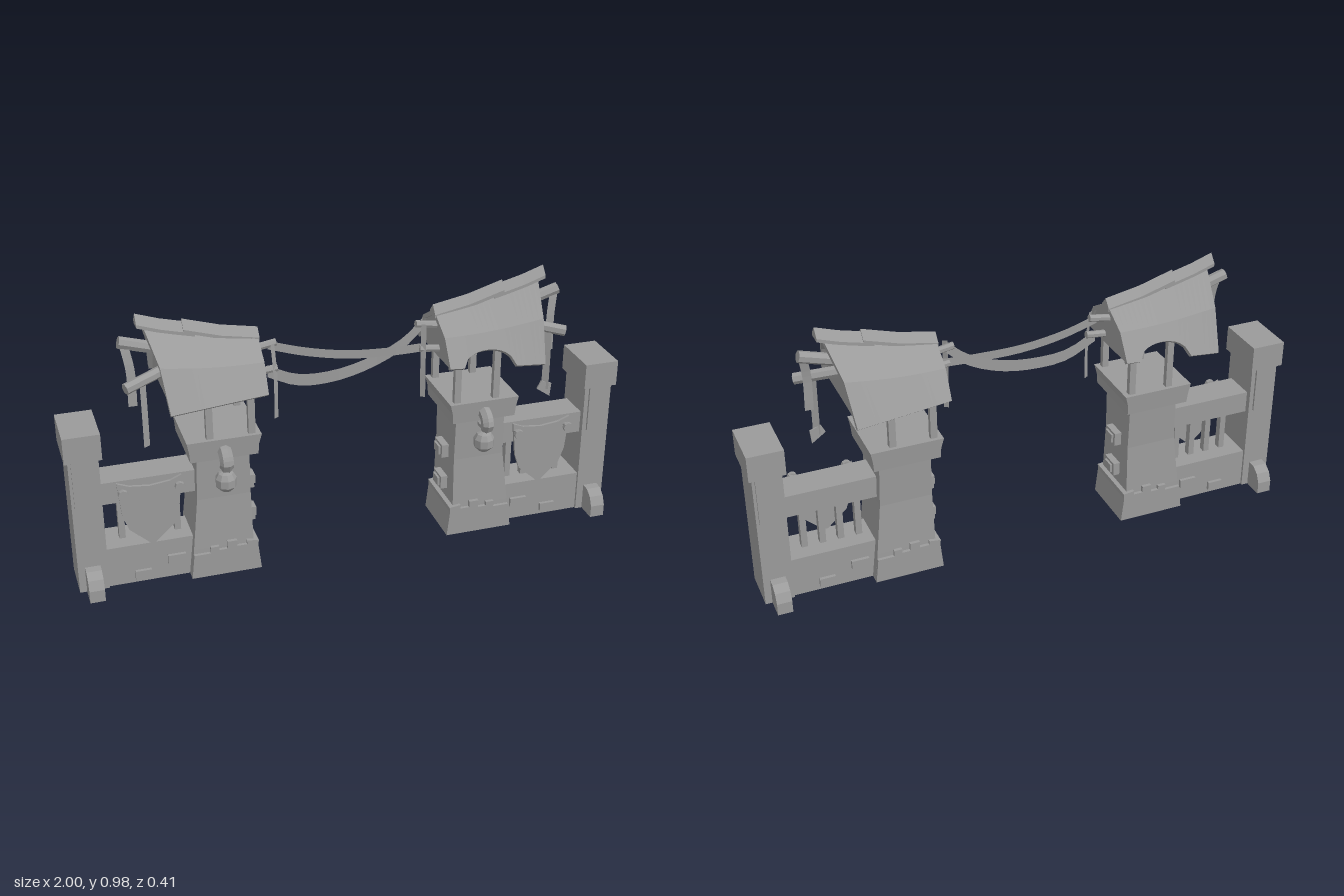
import * as THREE from 'three';

const material = new THREE.MeshStandardMaterial({ color: 0x9a9a9a, flatShading: true, side: THREE.DoubleSide });
const V = (x, y, z) => new THREE.Vector3(x, y, z);
const mix = THREE.MathUtils.lerp;

// Adds a part; shapes are written for the +x side and mirrored when s is -1
function add(parent, name, geometry, s = 1) {
  const g = geometry.index ? geometry.toNonIndexed() : geometry;
  if (s < 0) {
    const p = g.attributes.position;
    for (let i = 0; i < p.count; i++) p.setX(i, -p.getX(i));
    for (let i = 0; i < p.count; i += 3) {
      const b = V().fromBufferAttribute(p, i + 1), c = V().fromBufferAttribute(p, i + 2);
      p.setXYZ(i + 1, c.x, c.y, c.z);
      p.setXYZ(i + 2, b.x, b.y, b.z);
    }
  }
  g.computeVertexNormals();
  const mesh = new THREE.Mesh(g, material);
  mesh.name = name;
  parent.add(mesh);
}

// Drops the faces lying on the ground, leaving the part hollow from below
function openBottom(geometry) {
  const p = (geometry.index ? geometry.toNonIndexed() : geometry).attributes.position;
  const kept = [];
  for (let i = 0; i < p.count; i += 3) {
    const corners = [0, 1, 2].map(k => V().fromBufferAttribute(p, i + k));
    if (corners.some(c => c.y > 1e-5)) kept.push(...corners);
  }
  return new THREE.BufferGeometry().setFromPoints(kept);
}

// Box given by its limits
const box = (x0, x1, y0, y1, z0, z1) =>
  new THREE.BoxGeometry(x1 - x0, y1 - y0, z1 - z0).translate((x0 + x1) / 2, (y0 + y1) / 2, (z0 + z1) / 2);

// Round pole between two points
function pole(a, b, r, sides = 7) {
  const d = b.clone().sub(a);
  return new THREE.CylinderGeometry(r, r, d.length(), sides)
    .applyQuaternion(new THREE.Quaternion().setFromUnitVectors(V(0, 1, 0), d.clone().normalize()))
    .translate((a.x + b.x) / 2, (a.y + b.y) / 2, (a.z + b.z) / 2);
}

// Joins closed sections of equal length; end caps pair point i with point n-1-i
function loft(sections) {
  const n = sections[0].length, last = (sections.length - 1) * n, index = [];
  const quad = (a, b, c, d) => index.push(a, b, c, a, c, d);
  for (let k = 0; k < sections.length - 1; k++)
    for (let i = 0; i < n; i++) {
      const j = (i + 1) % n, o = k * n;
      quad(o + i, o + j, o + n + j, o + n + i);
    }
  for (let i = 0; i < n / 2 - 1; i++) {
    quad(i + 1, i, n - 1 - i, n - 2 - i);
    quad(last + i, last + i + 1, last + n - 2 - i, last + n - 1 - i);
  }
  const g = new THREE.BufferGeometry().setFromPoints(sections.flat());
  g.setIndex(index);
  return g;
}

// Thin cloth strip along a curve
function ribbon(points, side, segments = 10) {
  const curve = new THREE.CatmullRomCurve3(points);
  const g = new THREE.PlaneGeometry(1, 1, segments, 1), p = g.attributes.position;
  for (let i = 0; i < p.count; i++) {
    const q = curve.getPoint(p.getX(i) + 0.5).addScaledVector(side, p.getY(i));
    p.setXYZ(i, q.x, q.y, q.z);
  }
  return g;
}

// Flat outline given thickness in z
function slab(points, z, depth) {
  const shape = new THREE.Shape(points.map(([x, y]) => new THREE.Vector2(x, y)));
  return new THREE.ExtrudeGeometry(shape, { depth, bevelEnabled: false }).translate(0, 0, z);
}

// Five roof points from +z eave over the ridge to -z eave; t runs from outer end to inner end
function roofLine(t, inset, notchSide) {
  const sag = 0.008 * Math.sin(Math.PI * t);
  const ridge = mix(0.945, 0.86, t) - sag - inset * 1.3;
  const bz = mix(0.137, 0.108, t) - inset * 0.8, by = mix(0.835, 0.795, t) - sag - inset * 0.6;
  const ez = mix(0.207, 0.165, t) - inset, ey = mix(0.695, 0.703, t) - inset * 0.7;
  const d = Math.abs(t - 0.58) / 0.27;
  const bite = d < 1 ? 0.5 * Math.sqrt(1 - d * d) : 0;
  const rx = mix(0.7, 0.315, t), ex = mix(0.655, 0.32, t), mx = mix(0.67, 0.318, t);
  const eave = side => {
    const k = side === notchSide ? bite : 0;
    return V(ex, mix(ey, by, k), side * mix(ez, bz, k));
  };
  return [eave(1), V(mx, by, bz), V(rx, ridge, 0), V(mx, by, -bz), eave(-1)];
}

function buildRoof(s) {
  const roof = new THREE.Group();
  roof.name = 'roof';
  const shell = [];
  for (let k = 0; k <= 20; k++)
    shell.push([...roofLine(k / 20, 0, s), ...roofLine(k / 20, 0.016, s).reverse()]);
  add(roof, 'roofShell', loft(shell), s);

  // Ridge caps in two overlapping pieces
  const cap = (x, y) => [[-0.026, 0], [-0.026, 0.012], [0, 0.042], [0.026, 0.012], [0.026, 0], [0, 0]]
    .map(([z, h]) => V(x, y + h, z));
  add(roof, 'outerRidgeCap', loft([cap(0.72, 0.935), cap(0.64, 0.908), cap(0.53, 0.88)]), s);
  add(roof, 'innerRidgeCap', loft([cap(0.567, 0.898), cap(0.44, 0.86), cap(0.312, 0.836)]), s);

  // Gable walls
  for (const [t, x] of [[0.1, 0.635], [0.95, 0.335]]) {
    const wall = dx => [...roofLine(t, 0.012, 0), V(0, 0.69, 0)].map(p => V(x + dx, p.y, p.z));
    add(roof, 'gable', loft([wall(0.008), wall(-0.008)]), s);
  }
  for (const x of [0.37, 0.515])
    for (const z of [-0.108, 0.108])
      add(roof, 'roofPost', box(x - 0.012, x + 0.012, 0.53, 0.74, z - 0.01, z + 0.01), s);

  // Poles and cloth hanging from the outer and inner gables
  add(roof, 'upperOuterPole', pole(V(0.6, 0.83, 0), V(0.78, 0.883, 0), 0.021), s);
  add(roof, 'lowerOuterPole', pole(V(0.6, 0.79, 0.02), V(0.78, 0.755, 0.09), 0.02), s);
  add(roof, 'upperInnerPole', pole(V(0.36, 0.795, 0), V(0.25, 0.813, 0), 0.013), s);
  add(roof, 'lowerInnerPole', pole(V(0.36, 0.72, 0.03), V(0.255, 0.732, 0.03), 0.013), s);
  add(roof, 'outerCloth', ribbon([V(0.765, 0.885, 0.01), V(0.75, 0.79, 0.025), V(0.75, 0.66, 0.03)], V(0.03, 0, 0)), s);
  add(roof, 'longCloth', ribbon([V(0.72, 0.775, 0.076), V(0.72, 0.65, 0.08), V(0.72, 0.53, 0.08)], V(0.022, 0, 0.013)), s);
  if (s > 0) add(roof, 'twistedClothEnd', slab([[0.705, 0.565], [0.745, 0.55], [0.74, 0.5], [0.69, 0.535]], 0.076, 0.006));
  add(roof, 'innerCloth', ribbon([V(0.27, 0.82, 0.03), V(0.265, 0.7, 0.043), V(0.266, 0.55, 0.045)], V(0.016, 0, 0.01)), s);
  return roof;
}

function buildTower(s) {
  const tower = new THREE.Group();
  tower.name = 'tower';
  const rect = (y, x0, x1, z) => [V(x1, y, z), V(x1, y, -z), V(x0, y, -z), V(x0, y, z)];
  add(tower, 'towerBody', openBottom(loft([
    rect(0, 0.355, 0.6, 0.102), rect(0.11, 0.374, 0.587, 0.1), rect(0.3, 0.376, 0.565, 0.09), rect(0.48, 0.377, 0.56, 0.095)])), s);
  add(tower, 'towerTop', loft([rect(0.467, 0.352, 0.587, 0.125), rect(0.505, 0.35, 0.59, 0.128), rect(0.543, 0.34, 0.597, 0.131)]), s);
  add(tower, 'jaggedBase', openBottom(slab([
    [0.35, 0], [0.6, 0], [0.589, 0.092], [0.53, 0.092], [0.53, 0.115], [0.5, 0.115], [0.5, 0.1], [0.47, 0.1], [0.47, 0.128],
    [0.435, 0.128], [0.435, 0.105], [0.4, 0.105], [0.4, 0.12], [0.358, 0.115], [0.36, 0.095]], -0.112, 0.224)), s);

  // Raised stones on the inner face
  for (const y of [0.18, 0.31]) {
    add(tower, 'stone', box(0.35, 0.39, y - 0.025, y + 0.025, -0.036, 0.036), s);
    add(tower, 'stoneFace', box(0.342, 0.36, y - 0.016, y + 0.016, -0.024, 0.024), s);
  }

  // Curved hook with a hanging lantern
  const hook = new THREE.CatmullRomCurve3(
    [V(0.47, 0.475, 0.085), V(0.47, 0.497, 0.122), V(0.47, 0.488, 0.15), V(0.47, 0.462, 0.163), V(0.47, 0.45, 0.15)]);
  add(tower, 'lanternHook', new THREE.TubeGeometry(hook, 12, 0.024, 7), s);
  add(tower, 'lanternArm', pole(V(0.47, 0.44, 0.155), V(0.47, 0.44, 0.085), 0.012, 6), s);
  add(tower, 'lanternCord', pole(V(0.47, 0.45, 0.135), V(0.47, 0.41, 0.135), 0.008, 6), s);
  const profile = [[0, 0.346], [0.018, 0.35], [0.037, 0.37], [0.037, 0.398], [0.026, 0.417], [0.01, 0.424], [0, 0.426]];
  add(tower, 'lantern', new THREE.LatheGeometry(profile.map(p => new THREE.Vector2(...p)), 9).translate(0.47, 0, 0.133), s);
  add(tower, 'lanternBrace', pole(V(0.47, 0.365, 0.085), V(0.47, 0.38, 0.12), 0.012, 6), s);
  return tower;
}

function buildFence(s) {
  const fence = new THREE.Group();
  fence.name = 'fence';
  // End pillar with cap, hanging face plate and buttress feet
  add(fence, 'pillar', openBottom(box(0.884, 0.987, 0, 0.53, -0.079, 0.079)), s);
  add(fence, 'pillarPlate', box(0.9, 0.977, 0.335, 0.53, -0.087, 0.087), s);
  add(fence, 'pillarCap', box(0.873, 0.999, 0.512, 0.607, -0.094, 0.094), s);
  for (const side of [-1, 1]) {
    const foot = x => [[0.07, 0], [0.07, 0.098], [0.11, 0.097], [0.138, 0.078], [0.154, 0.045], [0.154, 0]]
      .map(([z, y]) => V(x, y, side * z));
    add(fence, 'pillarFoot', openBottom(loft(side > 0 ? [foot(0.91), foot(0.963)] : [foot(0.963), foot(0.91)])), s);
    // Loose bricks in the low wall
    const z = side * 0.07;
    add(fence, 'brick', box(0.735, 0.792, 0.016, 0.048, z - 0.012, z + 0.012), s);
    add(fence, 'brick', box(0.612, 0.675, 0.058, 0.09, z - 0.012, z + 0.012), s);
  }
  add(fence, 'lowWall', openBottom(box(0.56, 0.9, 0, 0.15, -0.07, 0.07)), s);
  add(fence, 'topBeam', box(0.55, 0.89, 0.32, 0.402, -0.058, 0.058), s);
  for (const x of [0.818, 0.753, 0.688, 0.623])
    add(fence, 'bar', box(x - 0.011, x + 0.011, 0.14, 0.33, -0.013, 0.013), s);

  // Pointed banner held by two studs
  add(fence, 'banner', slab([
    [0.61, 0.4], [0.65, 0.383], [0.72, 0.375], [0.79, 0.383], [0.832, 0.4], [0.82, 0.27], [0.8, 0.215],
    [0.722, 0.143], [0.642, 0.215], [0.624, 0.27]], 0.062, 0.01), s);
  for (const x of [0.622, 0.815]) {
    add(fence, 'stud', pole(V(x, 0.37, 0.05), V(x, 0.37, 0.1), 0.008, 6), s);
    add(fence, 'studHead', pole(V(x, 0.37, 0.092), V(x, 0.37, 0.106), 0.018, 8), s);
  }
  return fence;
}

export function createModel() {
  const model = new THREE.Group();
  model.name = 'gateway';
  for (const s of [-1, 1]) {
    const half = new THREE.Group();
    half.name = s > 0 ? 'leftHalf' : 'rightHalf';
    half.add(buildTower(s), buildRoof(s), buildFence(s));
    model.add(half);
  }
  // Cloth streamers strung across the gap
  add(model, 'upperStreamer', ribbon(
    [V(-0.28, 0.805, 0), V(-0.15, 0.765, 0.005), V(0, 0.738, 0.015), V(0.15, 0.732, 0.025), V(0.28, 0.735, 0.03)], V(0, 0.032, 0), 14));
  add(model, 'lowerStreamer', ribbon(
    [V(-0.29, 0.722, 0.03), V(-0.18, 0.672, 0.025), V(-0.05, 0.667, 0.02), V(0.08, 0.692, 0.01), V(0.2, 0.745, 0.005), V(0.275, 0.81, 0)],
    V(0, 0.044, 0), 14));
  return model;
}
